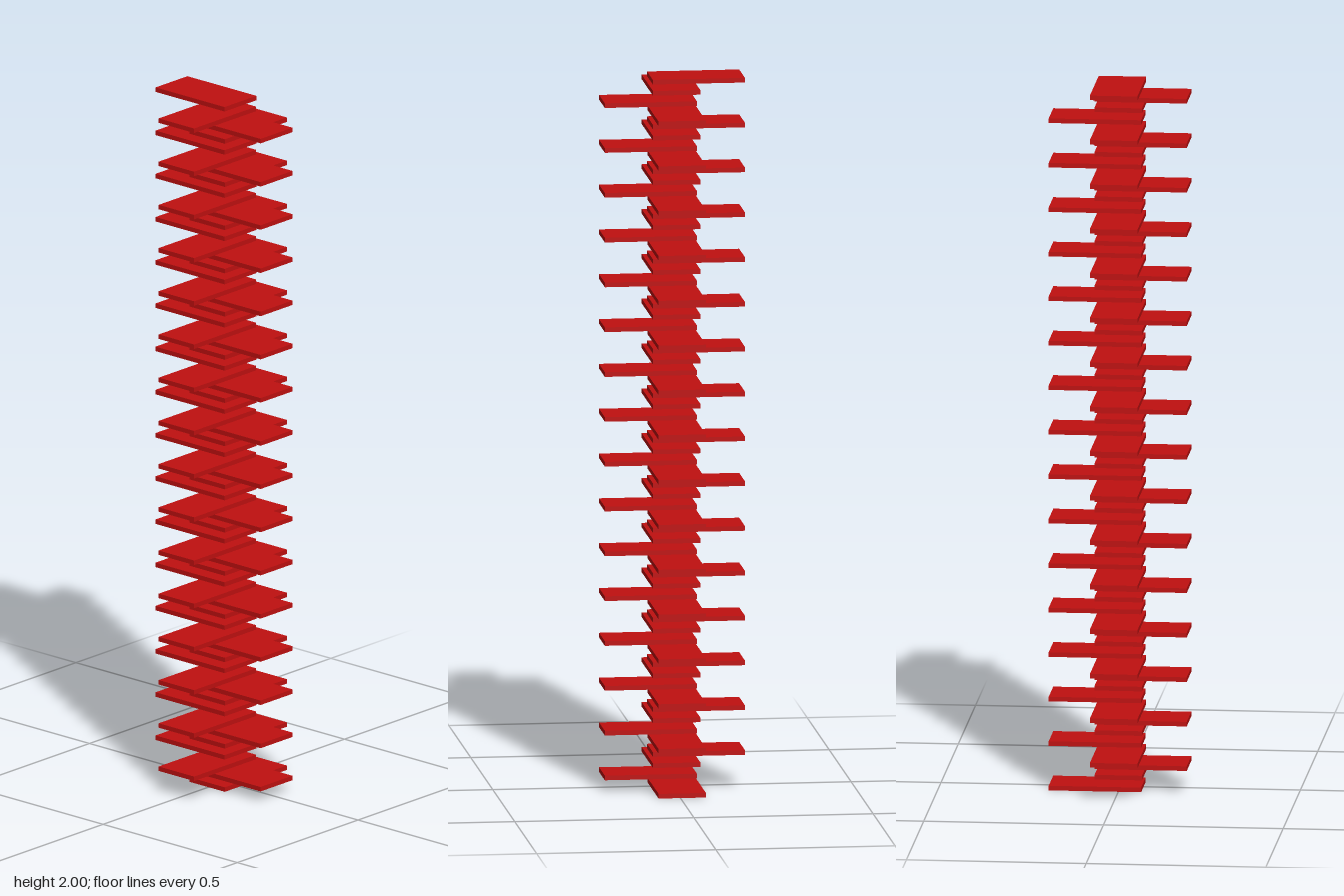
import * as THREE from 'three';

// A tall stack of thin floating slabs, each turned a quarter from the last.
export function createModel() {
  const group = new THREE.Group();
  group.name = 'spiralSlabStack';
  const material = new THREE.MeshStandardMaterial({ color: 0xc01010, flatShading: true });

  const count = 64, thickness = 0.013, length = 0.257, width = 0.132;
  const step = (2 - thickness) / (count - 1);
  const alongX = new THREE.BoxGeometry(length, thickness, width);
  const alongZ = new THREE.BoxGeometry(width, thickness, length);

  // Directions from the bottom up: back, left, front, right
  const turns = [
    { name: 'backSlab', geometry: alongZ, x: -0.005, z: -0.065 },
    { name: 'leftSlab', geometry: alongX, x: 0.067, z: -0.001 },
    { name: 'frontSlab', geometry: alongZ, x: -0.005, z: 0.062 },
    { name: 'rightSlab', geometry: alongX, x: -0.067, z: -0.001 },
  ];

  for (let i = 0; i < count; i++) {
    const { name, geometry, x, z } = turns[i % 4];
    const slab = new THREE.Mesh(geometry, material);
    slab.name = name;
    slab.position.set(x, thickness / 2 + i * step, z);
    group.add(slab);
  }
  return group;
}
